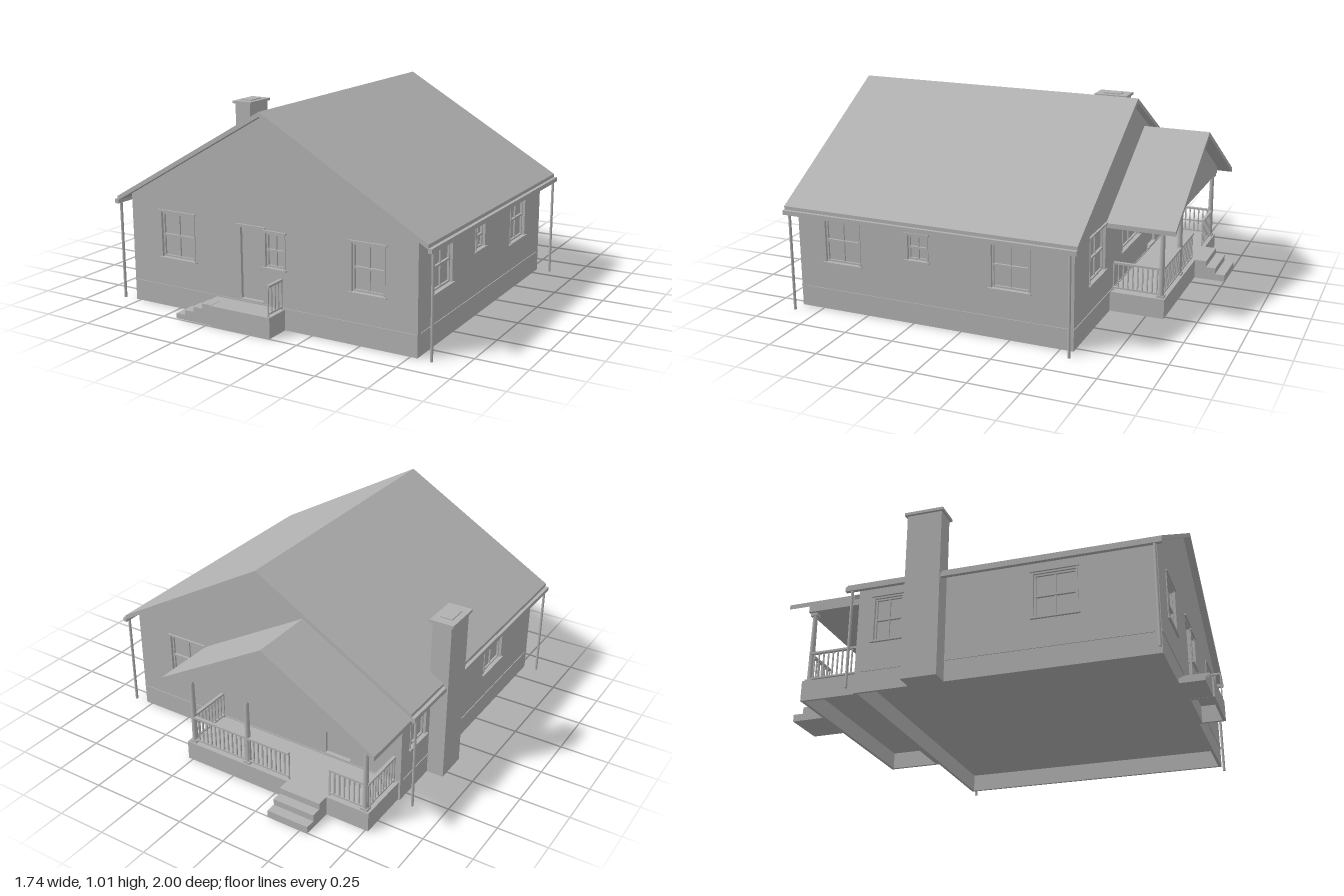
import * as THREE from 'three';

export function createModel() {
  const house = new THREE.Group();
  house.name = 'house';
  const grey = new THREE.MeshStandardMaterial({ color: 0xb0b0b0 });
  grey.name = 'plain grey';

  function add(parent, name, geometry) {
    const mesh = new THREE.Mesh(geometry, grey);
    mesh.name = name;
    parent.add(mesh);
    return mesh;
  }

  // Box given by its limits on each axis
  function box(parent, name, x0, x1, y0, y1, z0, z1) {
    const mesh = add(parent, name, new THREE.BoxGeometry(x1 - x0, y1 - y0, z1 - z0));
    mesh.position.set((x0 + x1) / 2, (y0 + y1) / 2, (z0 + z1) / 2);
    return mesh;
  }

  // Outline in x and y, pushed from z0 to z1
  function prism(parent, name, points, z0, z1, holes = []) {
    const shape = new THREE.Shape(points.map(([x, y]) => new THREE.Vector2(x, y)));
    for (const [x0, x1, y0, y1] of holes) {
      shape.holes.push(new THREE.Path([[x0, y0], [x0, y1], [x1, y1], [x1, y0]].map(([x, y]) => new THREE.Vector2(x, y))));
    }
    const geometry = new THREE.ExtrudeGeometry(shape, { depth: z1 - z0, bevelEnabled: false });
    geometry.translate(0, 0, z0);
    return add(parent, name, geometry);
  }

  // Platform that is open underneath
  function hollowBase(name, x0, x1, z0, z1, top, t = 0.015) {
    const g = new THREE.Group();
    g.name = name;
    house.add(g);
    box(g, 'floor', x0, x1, top - 0.015, top, z0, z1);
    box(g, 'rightSkirt', x0, x0 + t, 0, top - 0.015, z0, z1);
    box(g, 'leftSkirt', x1 - t, x1, 0, top - 0.015, z0, z1);
    box(g, 'backSkirt', x0 + t, x1 - t, 0, top - 0.015, z0, z0 + t);
    box(g, 'frontSkirt', x0 + t, x1 - t, 0, top - 0.015, z1 - t, z1);
  }

  const X0 = -0.775, X1 = 0.785, Z0 = -0.565, Z1 = 0.87, RIDGE = 0.005;
  const T = 0.03, SLOPE = Math.tan(Math.PI / 6), BASE = 0.105;

  hollowBase('foundation', X0, X1, Z0, Z1, BASE);

  // Window set back in its opening, with sash bars, head and sill
  function window_(wall, [x0, x1, y0, y1]) {
    const g = new THREE.Group();
    g.name = 'window';
    wall.add(g);
    const xm = (x0 + x1) / 2, ym = (y0 + y1) / 2, b = 0.008;
    box(g, 'glass', x0, x1, y0, y1, -0.026, -0.02);
    box(g, 'sashSide', x0, x0 + b, y0, y1, -0.02, -0.01);
    box(g, 'sashSide', x1 - b, x1, y0, y1, -0.02, -0.01);
    box(g, 'sashTop', x0, x1, y1 - b, y1, -0.02, -0.01);
    box(g, 'sashBottom', x0, x1, y0, y0 + b, -0.02, -0.01);
    box(g, 'meetingRail', x0, x1, ym - 0.005, ym + 0.005, -0.02, -0.008);
    box(g, 'mullion', xm - 0.003, xm + 0.003, y0, y1, -0.02, -0.012);
    box(g, 'head', x0 - 0.015, x1 + 0.015, y1 + 0.008, y1 + 0.016, 0, 0.01);
    box(g, 'sill', x0 - 0.015, x1 + 0.015, y0 - 0.008, y0, -0.02, 0.012);
    for (const x of [x0 - 0.008, x1]) box(g, 'casing', x, x + 0.008, y0, y1 + 0.008, 0, 0.004);
  }

  function door(wall, [x0, x1, y0, y1]) {
    const g = new THREE.Group();
    g.name = 'door';
    wall.add(g);
    box(g, 'leaf', x0, x1, y0, y1, -0.026, -0.016);
    box(g, 'head', x0 - 0.018, x1 + 0.018, y1 + 0.01, y1 + 0.018, 0, 0.01);
    box(g, 'threshold', x0, x1, y0, y0 + 0.006, -0.016, 0.006);
    const knob = add(g, 'knob', new THREE.SphereGeometry(0.005, 10, 8));
    knob.position.set(x1 - 0.015, (y0 + y1) / 2 - 0.01, -0.012);
  }

  // Wall panel: outer face on local z = 0, turned into place
  function wall(name, outline, x, z, turn, windows, doors = []) {
    const g = new THREE.Group();
    g.name = name;
    g.position.set(x, 0, z);
    g.rotation.y = turn;
    house.add(g);
    prism(g, 'panel', outline, -T, 0, [...windows, ...doors]);
    const xs = outline.map((p) => p[0]);
    box(g, 'baseTrim', Math.min(...xs), Math.max(...xs), BASE - 0.004, BASE + 0.002, 0, 0.004);
    windows.forEach((w) => window_(g, w));
    doors.forEach((d) => door(g, d));
  }

  const under = (x) => 0.992 - Math.abs(x - RIDGE) * SLOPE;
  const gable = [[X0, BASE], [X1, BASE], [X1, under(X1)], [RIDGE, under(RIDGE)], [X0, under(X0)]];
  const mirrored = gable.map(([x, y]) => [-x, y]).reverse();
  const side = (a, b) => [[a, BASE], [b, BASE], [b, under(X1)], [a, under(X1)]];

  wall('frontWall', gable, 0, Z1, 0,
    [[-0.595, -0.405, 0.25, 0.47], [0.46, 0.62, 0.25, 0.47], [0.005, 0.105, 0.29, 0.45]],
    [[-0.135, -0.01, 0.11, 0.46]]);
  wall('backWall', mirrored, 0, Z0, Math.PI,
    [[-0.58, -0.37, 0.25, 0.47], [-0.09, 0.19, 0.25, 0.43]],
    [[0.36, 0.5, 0.11, 0.43]]);
  wall('leftWall', side(-Z1 + T, -Z0 - T), X1, 0, Math.PI / 2,
    [[-0.72, -0.535, 0.25, 0.47], [-0.27, -0.17, 0.325, 0.445], [0.16, 0.345, 0.25, 0.47]]);
  wall('rightWall', side(Z0 + T, Z1 - T), X0, 0, -Math.PI / 2,
    [[-0.48, -0.34, 0.25, 0.47], [0.3, 0.5, 0.25, 0.47]]);

  // Gabled roof slab
  function roof(name, cx, top, half, z0, z1) {
    const t = 0.023, d = half * SLOPE;
    prism(house, name, [[cx - half, top - d], [cx - half, top - d - t], [cx, top - t],
      [cx + half, top - d - t], [cx + half, top - d], [cx, top]], z0, z1);
  }
  roof('mainRoof', RIDGE, 1.015, 0.842, -0.6, 0.905);
  roof('porchRoof', -0.235, 0.82, 0.59, -0.905, Z0);

  // Gutters and corner downspouts
  for (const s of [-1, 1]) {
    const x = RIDGE + s * 0.849;
    box(house, 'gutter', x - 0.01, x + 0.01, 0.49, 0.512, -0.6, 0.905);
    for (const z of [-0.568, 0.873]) {
      const spout = add(house, 'downspout', new THREE.CylinderGeometry(0.007, 0.007, 0.49, 8));
      spout.position.set(x, 0.245, z);
    }
  }

  // Chimney
  box(house, 'chimneyStack', -0.862, -0.765, 0, 0.836, -0.295, -0.122);
  box(house, 'chimneyCap', -0.875, -0.753, 0.836, 0.85, -0.305, -0.112);
  box(house, 'chimneyFlue', -0.845, -0.782, 0.85, 0.855, -0.26, -0.157);

  // Railing between two points on a deck
  function railing(name, xa, za, xb, zb) {
    const g = new THREE.Group();
    g.name = name;
    house.add(g);
    const length = Math.hypot(xb - xa, zb - za), n = Math.max(2, Math.round(length / 0.025));
    g.position.set(xa, 0.1, za);
    g.rotation.y = -Math.atan2(zb - za, xb - xa);
    box(g, 'topRail', 0, length, 0.14, 0.15, -0.008, 0.008);
    box(g, 'bottomRail', 0, length, 0.012, 0.02, -0.005, 0.005);
    for (let i = 0; i <= n; i++) {
      const x = (i / n) * length;
      box(g, 'baluster', x - 0.003, x + 0.003, i % n ? 0.02 : 0, 0.14, -0.003, 0.003);
    }
  }

  // Back porch: deck, gable, columns, rails and steps
  hollowBase('porchDeck', -0.765, 0.275, -0.84, Z0, 0.1);
  prism(house, 'porchGable', [[-0.765, 0.46], [0.295, 0.46], [0.295, 0.491], [-0.235, 0.797], [-0.765, 0.491]], -0.835, Z0);
  for (const x of [-0.735, -0.08, 0.245]) {
    const column = add(house, 'porchColumn', new THREE.CylinderGeometry(0.011, 0.015, 0.345, 16));
    column.position.set(x, 0.2725, -0.815);
    box(house, 'columnCap', x - 0.017, x + 0.017, 0.445, 0.46, -0.832, -0.798);
    box(house, 'columnFoot', x - 0.018, x + 0.018, 0.1, 0.112, -0.833, -0.797);
  }
  railing('porchBackRail', -0.32, -0.82, 0.24, -0.82);
  railing('porchShortRail', -0.73, -0.82, -0.545, -0.82);
  railing('porchLeftRail', 0.25, -0.82, 0.25, -0.575);
  railing('porchRightRail', -0.745, -0.82, -0.745, -0.575);
  for (let i = 0; i < 3; i++) {
    box(house, 'porchStep', -0.54, -0.32, 0, 0.1 - i * 0.0325, -0.9 - i * 0.05, -0.84 - i * 0.05 - (i ? 0.01 : 0));
  }

  // Front stoop with side steps and one railing
  hollowBase('frontStoop', -0.225, 0.105, Z1, 0.998, 0.1);
  for (let i = 0; i < 4; i++) {
    box(house, 'stoopStep', -0.43 + i * 0.051, -0.379 + i * 0.051, 0, 0.025 * (i + 1), Z1, 0.99);
  }
  railing('stoopRail', 0.095, 0.88, 0.095, 0.99);

  return house;
}
